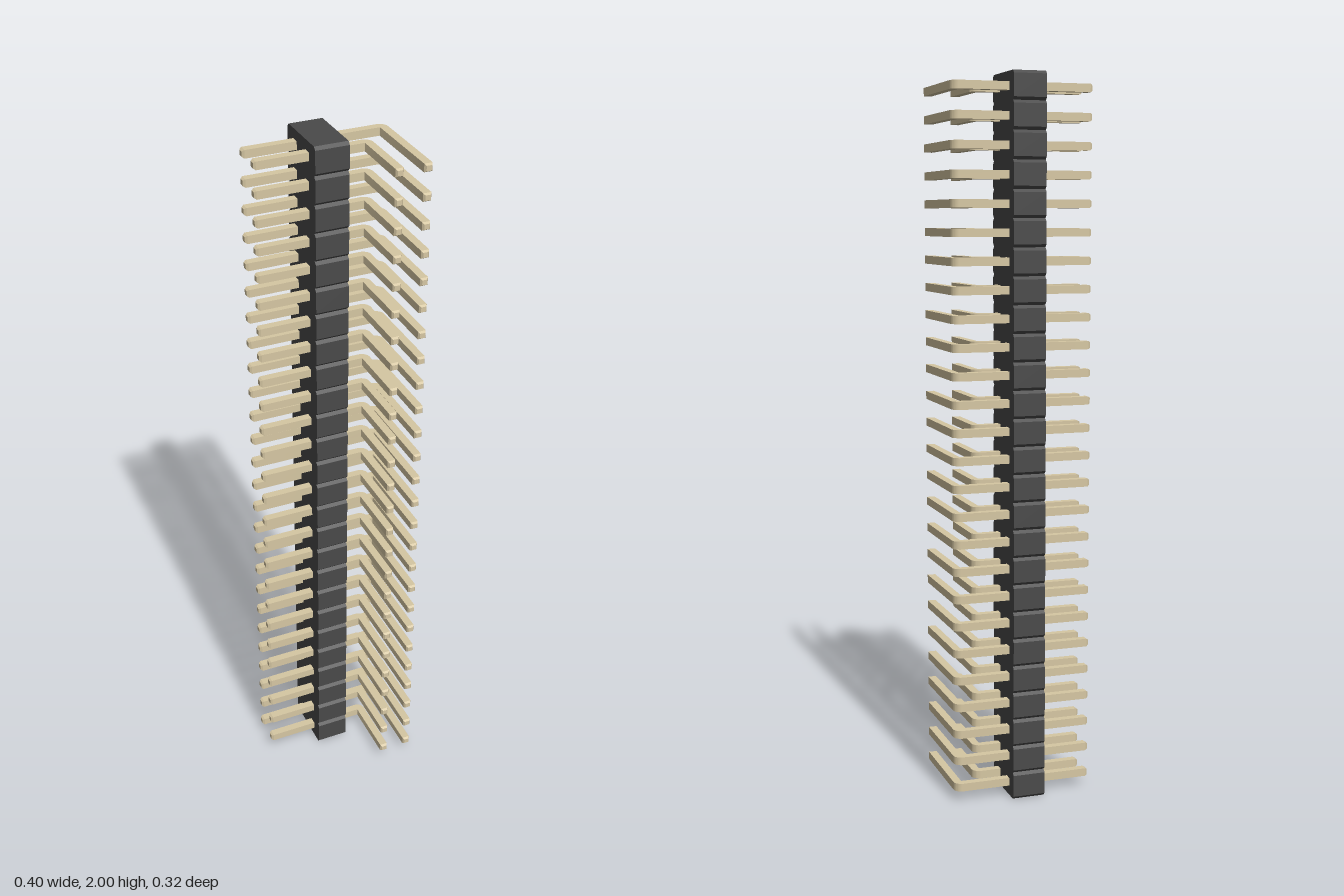
import * as THREE from 'three';
import { toCreasedNormals } from 'three/addons/utils/BufferGeometryUtils.js';

const COUNT = 26, PITCH = 2 / COUNT;
const BACK = -0.16, FRONT = 0.017, LEFT = 0.039, RIGHT = -0.053; // housing limits
const HALF = 0.0112;                                              // half pin thickness
const TIP_X = -0.198, TIP_Z = 0.157, TAPER = 0.006;

// Housing: a column of cells with bevelled front and back edges
function housingGeometry() {
  const c = 0.008, outline = [];
  for (let i = 0; i < COUNT; i++) {
    const y = i * PITCH;
    outline.push([-BACK - c, y], [-BACK, y + c], [-BACK, y + PITCH - c]);
  }
  outline.push([-BACK - c, 2]);
  for (let i = COUNT - 1; i >= 0; i--) {
    const y = i * PITCH;
    outline.push([-FRONT + c, y + PITCH], [-FRONT, y + PITCH - c], [-FRONT, y + c]);
  }
  outline.push([-FRONT + c, 0]);
  const shape = new THREE.Shape(outline.map(([u, v]) => new THREE.Vector2(u, v)));
  const geo = new THREE.ExtrudeGeometry(shape, { depth: LEFT - RIGHT, bevelEnabled: false });
  return geo.rotateY(Math.PI / 2).translate(RIGHT, 0, 0);
}

// Square pin running along x, bent towards the front, with tapered tips
function pinGeometry(rowZ, legX) {
  const R = HALF + 0.001, STEPS = 8;
  const stations = [[TIP_X, rowZ, 0, 0.65], [TIP_X + TAPER, rowZ, 0, 1]]; // x, z, angle, scale
  for (let i = 0; i <= STEPS; i++) {
    const t = (i / STEPS) * Math.PI / 2;
    stations.push([legX - R + R * Math.sin(t), rowZ + R - R * Math.cos(t), t, 1]);
  }
  stations.push([legX, TIP_Z - TAPER, Math.PI / 2, 1], [legX, TIP_Z, Math.PI / 2, 0.65]);

  const pos = [], index = [];
  stations.forEach(([x, z, t, s], k) => {
    const w = HALF * s;
    for (const [n, h] of [[1, 1], [1, -1], [-1, -1], [-1, 1]]) {
      pos.push(x + n * w * Math.sin(t), h * w, z - n * w * Math.cos(t));
    }
    if (k === 0) return;
    for (let j = 0; j < 4; j++) {
      const a = (k - 1) * 4 + j, a2 = (k - 1) * 4 + (j + 1) % 4;
      index.push(a, a + 4, a2 + 4, a, a2 + 4, a2);
    }
  });
  const e = (stations.length - 1) * 4;
  index.push(0, 1, 2, 0, 2, 3, e, e + 2, e + 1, e, e + 3, e + 2);
  const geo = new THREE.BufferGeometry();
  geo.setAttribute('position', new THREE.Float32BufferAttribute(pos, 3));
  geo.setIndex(index);
  return toCreasedNormals(geo, 0.35);
}

export function createModel() {
  const model = new THREE.Group();
  model.name = 'rightAnglePinHeader';

  const plastic = new THREE.MeshStandardMaterial({ color: 0x4a4a4a });
  const metal = new THREE.MeshStandardMaterial({ color: 0xd6c7a3 });

  const housing = new THREE.Mesh(housingGeometry(), plastic);
  housing.name = 'housing';
  model.add(housing);

  // Two rows of bent pins, one pair per cell
  const rows = [
    ['innerPin', pinGeometry(-0.034, 0.109)],
    ['outerPin', pinGeometry(-0.111, 0.186)],
  ];
  for (const [name, geo] of rows) {
    const row = new THREE.Group();
    row.name = name + 'Row';
    for (let i = 0; i < COUNT; i++) {
      const pin = new THREE.Mesh(geo, metal);
      pin.name = name;
      pin.position.y = (i + 0.5) * PITCH;
      row.add(pin);
    }
    model.add(row);
  }
  return model;
}
